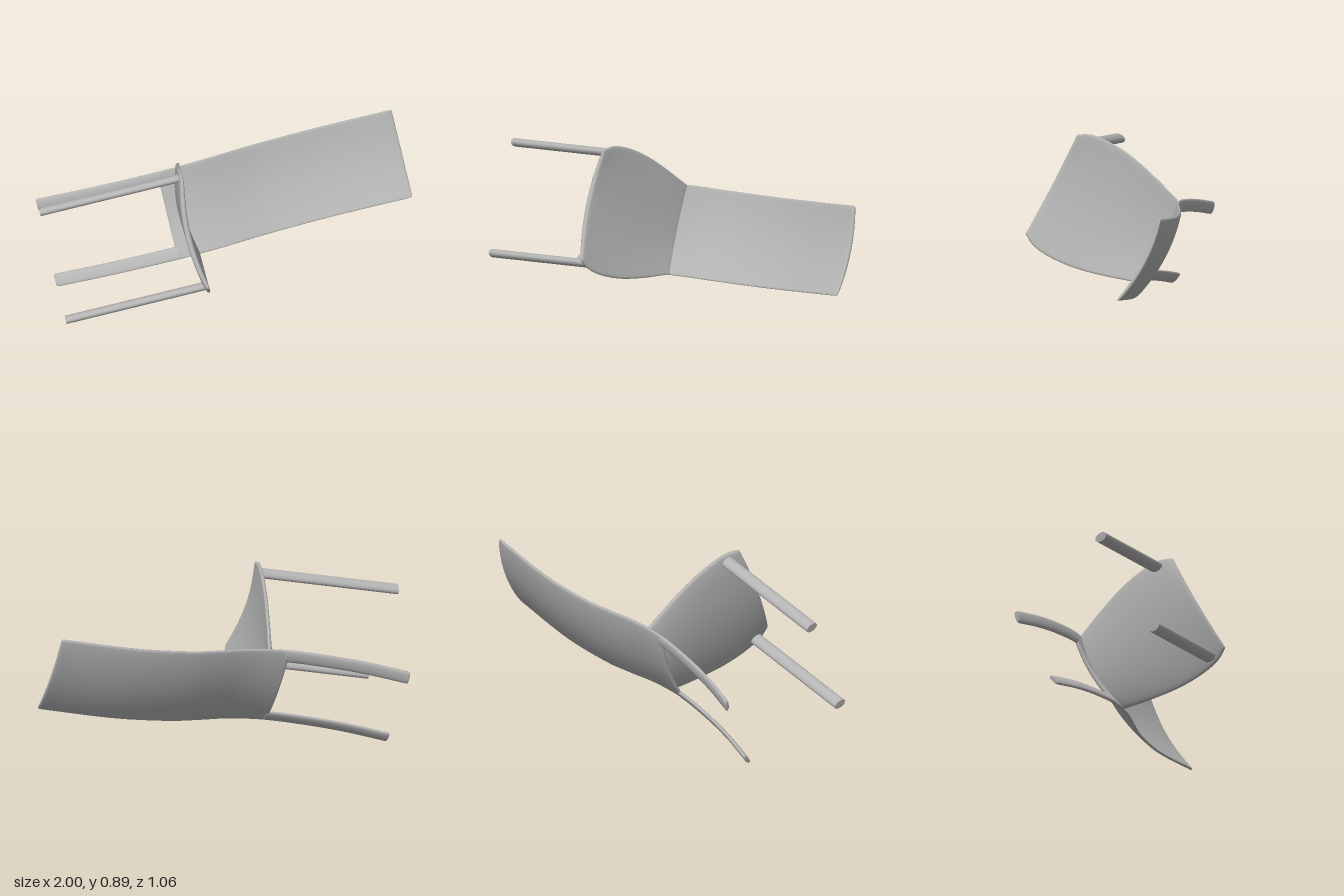
import * as THREE from 'three';

// Smooth curve through [x, y] points, evaluated at x
function curveAt(pts, x) {
  const n = pts.length - 1;
  let i = 0;
  while (i < n - 1 && x > pts[i + 1][0]) i++;
  const slope = (k) => {
    const a = pts[Math.max(0, k - 1)], b = pts[Math.min(n, k + 1)];
    return (b[1] - a[1]) / (b[0] - a[0]);
  };
  const [x0, y0] = pts[i], [x1, y1] = pts[i + 1];
  const h = x1 - x0, t = (x - x0) / h, t2 = t * t, t3 = t2 * t;
  return (2 * t3 - 3 * t2 + 1) * y0 + (t3 - 2 * t2 + t) * h * slope(i)
    + (3 * t2 - 2 * t3) * y1 + (t3 - t2) * h * slope(i + 1);
}

// Closed loft: point(s, u, v) gives a position; u, v run round a squarish ring
function loft(stations, sides, power, point) {
  const pos = [], index = [];
  const ring = (s) => {
    const start = pos.length / 3;
    for (let j = 0; j < sides; j++) {
      const a = (j / sides) * Math.PI * 2;
      const v = Math.sin(a);
      pos.push(...point(s, Math.cos(a), Math.sign(v) * Math.pow(Math.abs(v), power)));
    }
    return start;
  };
  const starts = stations.map(ring);
  for (let i = 0; i < starts.length - 1; i++) {
    for (let j = 0; j < sides; j++) {
      const k = (j + 1) % sides, a = starts[i], b = starts[i + 1];
      index.push(a + j, a + k, b + k, a + j, b + k, b + j);
    }
  }
  const cap = (s, flip) => {
    const o = ring(s);
    for (let j = 0; j < sides / 2; j++) {
      const a = o + j, b = o + j + 1, c = o + sides - j - 1, d = o + ((sides - j) % sides);
      if (flip) index.push(a, c, b, a, d, c);
      else index.push(a, b, c, a, c, d);
    }
  };
  cap(stations[0], true);
  cap(stations[stations.length - 1], false);
  const g = new THREE.BufferGeometry();
  g.setAttribute('position', new THREE.Float32BufferAttribute(pos, 3));
  g.setIndex(index);
  g.computeVertexNormals();
  return g;
}

// Stations between two ends, with extra ones where the ends are rounded
function stationsBetween(a, b, n, r) {
  const list = [a, a + r * 0.1, a + r * 0.4];
  for (let i = 0; i <= n; i++) list.push(a + r + ((b - a - 2 * r) * i) / n);
  list.push(b - r * 0.4, b - r * 0.1, b);
  return list;
}

// Quarter-round factor, 0 at the ends and 1 past distance r
function rounding(s, a, b, r) {
  const d = Math.min(1, Math.min(s - a, b - s) / r);
  return Math.sqrt(Math.max(0, 1 - (1 - d) * (1 - d)));
}

export function createModel() {
  const grey = new THREE.MeshStandardMaterial({ color: 0xb4b4b4 });
  grey.name = 'grey';
  const chair = new THREE.Group();
  chair.name = 'chair';
  const add = (name, geometry) => {
    const mesh = new THREE.Mesh(geometry, grey);
    mesh.name = name;
    chair.add(mesh);
    return mesh;
  };

  // Side profile shared by the backrest and rear legs: [height, depth]
  const profile = [[-0.803, 0.055], [-0.6, 0.09], [-0.4, 0.109], [-0.16, 0.114], [0.04, 0.09],
    [0.2, 0.051], [0.36, 0.016], [0.66, -0.014], [1.068, -0.01]];
  const half = 0.235;
  const backZ = (x, y) => curveAt(profile, y) - 0.03 * (1 - (x / half) ** 2);

  // Backrest: one bowed panel reaching below the seat
  const low = -0.17, high = 1.068;
  add('backrest', loft(stationsBetween(low, high, 30, 0.012), 48, 0.35, (y, u, v) => {
    const e = rounding(y, low, high, 0.012);
    const x = u * (half - 0.01 * (1 - e));
    return [x, y, backZ(x, y) - v * 0.011 * (0.25 + 0.75 * e)];
  }));

  // Rear legs: narrow strips continuing the backrest
  for (const side of [-1, 1]) {
    const foot = -0.803, top = -0.15;
    add(side < 0 ? 'rightRearLeg' : 'leftRearLeg',
      loft(stationsBetween(foot, top, 14, 0.01), 20, 0.7, (y, u, v) => {
        const e = 0.7 + 0.3 * rounding(y, foot, top, 0.01);
        const x = side * 0.2025 + u * 0.0325 * e;
        return [x, y, backZ(x, y) - v * 0.012 * e];
      }));
  }

  // Seat: dished plate with bulging sides
  const widths = [[0.105, 0.233], [0.28, 0.287], [0.43, 0.322], [0.57, 0.333], [0.67, 0.32], [0.73, 0.288]];
  const rear = 0.105, front = 0.73;
  add('seat', loft(stationsBetween(rear, front, 24, 0.014), 48, 0.35, (z, u, v) => {
    const e = rounding(z, rear, front, 0.014);
    const bow = 0.03 * (1 - u * u) * (front - z) / (front - rear);
    return [u * curveAt(widths, z), -0.06 - 0.037 * (1 - u * u) + v * 0.015 * (0.3 + 0.7 * e), z - bow];
  }));

  // Front legs: oval posts
  for (const side of [-1, 1]) {
    const leg = add(side < 0 ? 'rightFrontLeg' : 'leftFrontLeg',
      new THREE.CylinderGeometry(1, 1, 0.735, 24));
    leg.scale.set(0.021, 1, 0.033);
    leg.position.set(side * 0.289, -0.4355, 0.638);
  }

  // The chair lies tipped over on its side
  const up = new THREE.Vector3(0.917, 0.183, 0.353).normalize();
  const across = new THREE.Vector3(0, -0.884, 0.468);
  across.addScaledVector(up, -across.dot(up)).normalize();
  const forward = new THREE.Vector3().crossVectors(across, up);
  chair.quaternion.setFromRotationMatrix(new THREE.Matrix4().makeBasis(across, up, forward));
  chair.position.set(0, 0.338, -0.179);

  const model = new THREE.Group();
  model.name = 'tippedChair';
  model.add(chair);
  return model;
}
